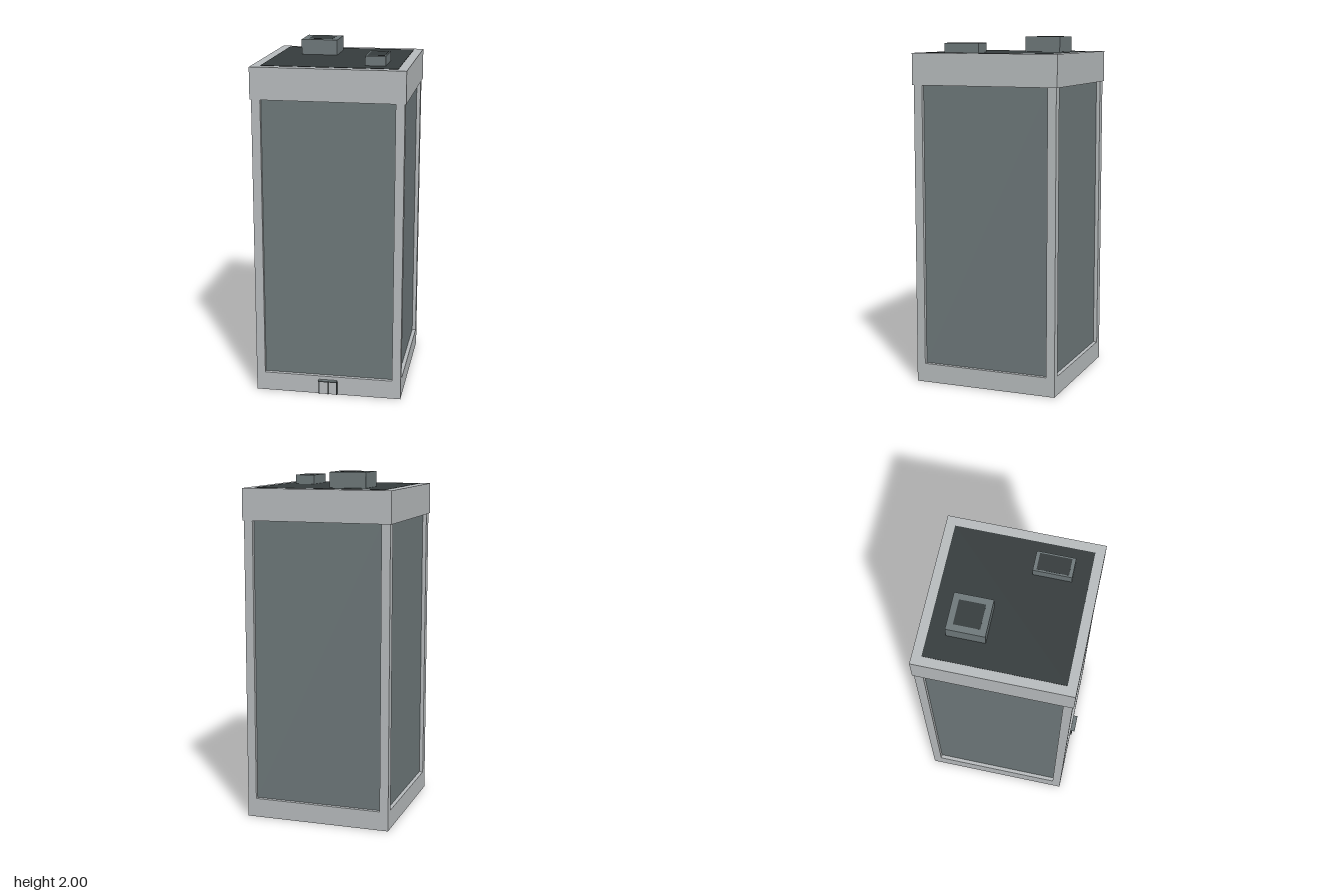
import * as THREE from 'three';

const mat = (name, color) => {
  const m = new THREE.MeshStandardMaterial({ color });
  m.name = name;
  return m;
};

export function createModel() {
  const concrete = mat('light concrete', 0xb6babc);
  const glass = mat('blue grey', 0x6d7779);
  const dark = mat('dark roofing', 0x353b3c);
  const model = new THREE.Group();
  model.name = 'tower';

  // Box given by its x, y and z limits
  function box(name, material, [x0, x1], [y0, y1], [z0, z1], parent = model) {
    const mesh = new THREE.Mesh(new THREE.BoxGeometry(x1 - x0, y1 - y0, z1 - z0), material);
    mesh.position.set((x0 + x1) / 2, (y0 + y1) / 2, (z0 + z1) / 2);
    mesh.name = name;
    parent.add(mesh);
    return mesh;
  }

  // Square ring lying flat, extruded upwards
  function ring(name, outer, inner, y0, y1, parent) {
    const square = (Type, r) => new Type([[-r, -r], [r, -r], [r, r], [-r, r]].map(([x, y]) => new THREE.Vector2(x, y)));
    const shape = square(THREE.Shape, outer);
    shape.holes.push(square(THREE.Path, inner));
    const geometry = new THREE.ExtrudeGeometry(shape, { depth: y1 - y0, bevelEnabled: false });
    geometry.rotateX(-Math.PI / 2);
    const mesh = new THREE.Mesh(geometry, concrete);
    mesh.position.y = y0;
    mesh.name = name;
    parent.add(mesh);
  }

  // Tower shaft, set slightly back to leave room for the entrance
  const shaft = new THREE.Group();
  shaft.name = 'shaft';
  shaft.position.z = -0.01;
  model.add(shaft);
  ring('baseBand', 0.425, 0.375, 0, 0.11, shaft);
  ring('crown', 0.432, 0.38, 1.73, 1.91, shaft);

  // Corner columns
  for (const sx of [-1, 1]) for (const sz of [-1, 1]) {
    const column = box('cornerColumn', concrete, [-0.025, 0.025], [0.11, 1.73], [-0.025, 0.025], shaft);
    column.position.x = sx * 0.4;
    column.position.z = sz * 0.4;
  }

  // Recessed glass curtain walls
  for (let i = 0; i < 4; i++) {
    const side = new THREE.Group();
    side.name = 'glassWall';
    side.rotation.y = i * Math.PI / 2;
    shaft.add(side);
    box('glassPane', glass, [-0.375, 0.375], [0.11, 1.73], [0.395, 0.403], side);
  }

  // Roof deck
  box('roofDeck', dark, [-0.38, 0.38], [1.9, 1.912], [-0.38, 0.38], shaft);

  // Rooftop units with dark tops
  function roofUnit(name, x, z, top, rimX, rimZ) {
    box(name, glass, x, [1.91, top], z);
    box(name + 'Top', dark, [x[0] + rimX, x[1] - rimX], [top - 0.004, top + 0.001], [z[0] + rimZ, z[1] - rimZ]);
  }
  roofUnit('plantRoom', [-0.243, -0.033], [-0.295, -0.085], 1.999, 0.035, 0.034);
  roofUnit('ventUnit', [0.187, 0.301], [0.07, 0.28], 1.965, 0.009, 0.019);

  // Entrance: light doors, dark frame and a small canopy
  box('doors', concrete, [-0.05, 0.05], [0, 0.082], [0.415, 0.418]);
  for (const x of [-0.052, 0, 0.052])
    box('doorPost', dark, [x - 0.0025, x + 0.0025], [0, 0.082], [0.414, 0.424]);
  box('doorHead', dark, [-0.0545, 0.0545], [0.078, 0.083], [0.414, 0.424]);
  box('canopy', glass, [-0.0545, 0.0525], [0.083, 0.089], [0.412, 0.44]);

  return model;
}
